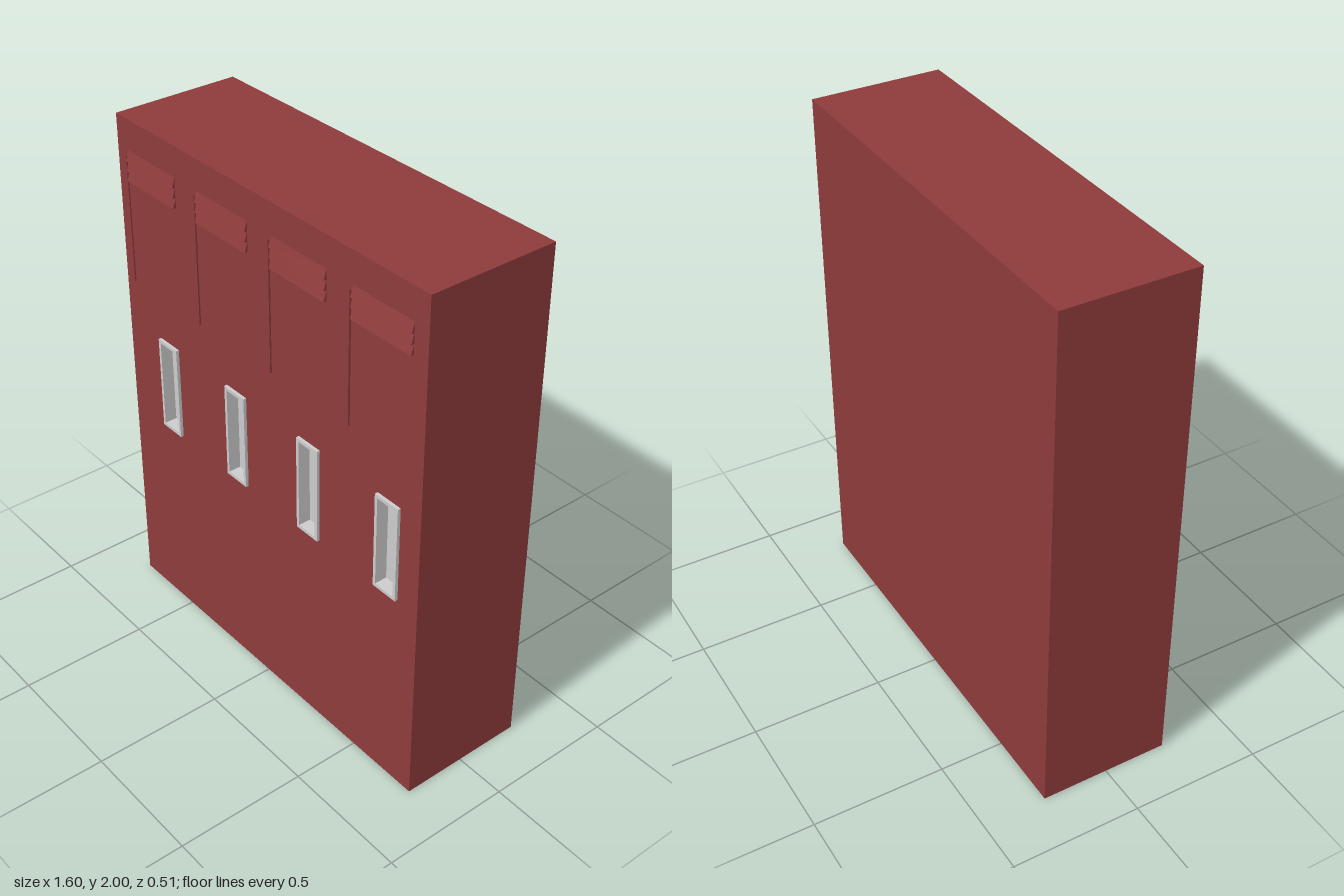
import * as THREE from 'three';

const BACK = -0.255, FACE = 0.243, FRONT = 0.255, FLOOR = 0.205;
const WIDTH = 0.4, HEIGHT = 2;

// Trace a rectangle onto a shape or path
function rect(path, x0, y0, x1, y1) {
  path.moveTo(x0, y0);
  path.lineTo(x1, y0);
  path.lineTo(x1, y1);
  path.lineTo(x0, y1);
  path.closePath();
  return path;
}

// Flat plate with rectangular holes, between two depths
function plate(outer, holes, z0, z1) {
  const shape = rect(new THREE.Shape(), ...outer);
  holes.forEach(h => shape.holes.push(rect(new THREE.Path(), ...h)));
  return new THREE.ExtrudeGeometry(shape, { depth: z1 - z0, bevelEnabled: false }).translate(0, 0, z0);
}

export function createModel() {
  const red = new THREE.MeshStandardMaterial({ color: 0x8e3b3b });
  const grey = new THREE.MeshStandardMaterial({ color: 0xcccccc });
  const model = new THREE.Group();
  model.name = 'lockers';

  const cup = [-0.005, 0.815, 0.105, 1.19];
  const opening = [0.007, 0.828, 0.093, 1.177];
  const slit = [-0.155, 1.36, -0.146, 1.86];

  // Cabinet body behind the door, and the door with its handle hole and slit
  const bodyGeo = new THREE.BoxGeometry(WIDTH, HEIGHT, FLOOR - BACK)
    .translate(0, HEIGHT / 2, (FLOOR + BACK) / 2);
  const doorGeo = plate([-WIDTH / 2, 0, WIDTH / 2, HEIGHT], [cup, slit], FLOOR, FACE);

  // Recessed handle: raised rim with deep walls, and a back plate
  const rimGeo = plate(cup, [opening], FLOOR, FRONT);
  const cupBackGeo = plate(opening, [], FLOOR - 0.005, FLOOR + 0.002);

  // Louver slat: wedge profile (z, y) swept across x
  const wedge = new THREE.Shape([
    new THREE.Vector2(FACE - 0.005, 0),
    new THREE.Vector2(FRONT, 0),
    new THREE.Vector2(FACE, 0.038),
    new THREE.Vector2(FACE - 0.005, 0.038),
  ]);
  const slatGeo = new THREE.ExtrudeGeometry(wedge, { depth: 0.275, bevelEnabled: false })
    .rotateY(-Math.PI / 2).scale(1, 1, 1).translate(0.137, 0, 0);

  for (let i = 0; i < 4; i++) {
    const locker = new THREE.Group();
    locker.name = `locker${i + 1}`;
    locker.position.x = (i - 1.5) * WIDTH;

    const add = (name, geometry, material, y = 0) => {
      const mesh = new THREE.Mesh(geometry, material);
      mesh.name = name;
      mesh.position.y = y;
      locker.add(mesh);
    };
    add('body', bodyGeo, red);
    add('door', doorGeo, red);
    add('handleRim', rimGeo, grey);
    add('handleBack', cupBackGeo, grey);
    for (let s = 0; s < 3; s++) add(`louver${s + 1}`, slatGeo, red, 1.77 + s * 0.0375);
    model.add(locker);
  }
  return model;
}
